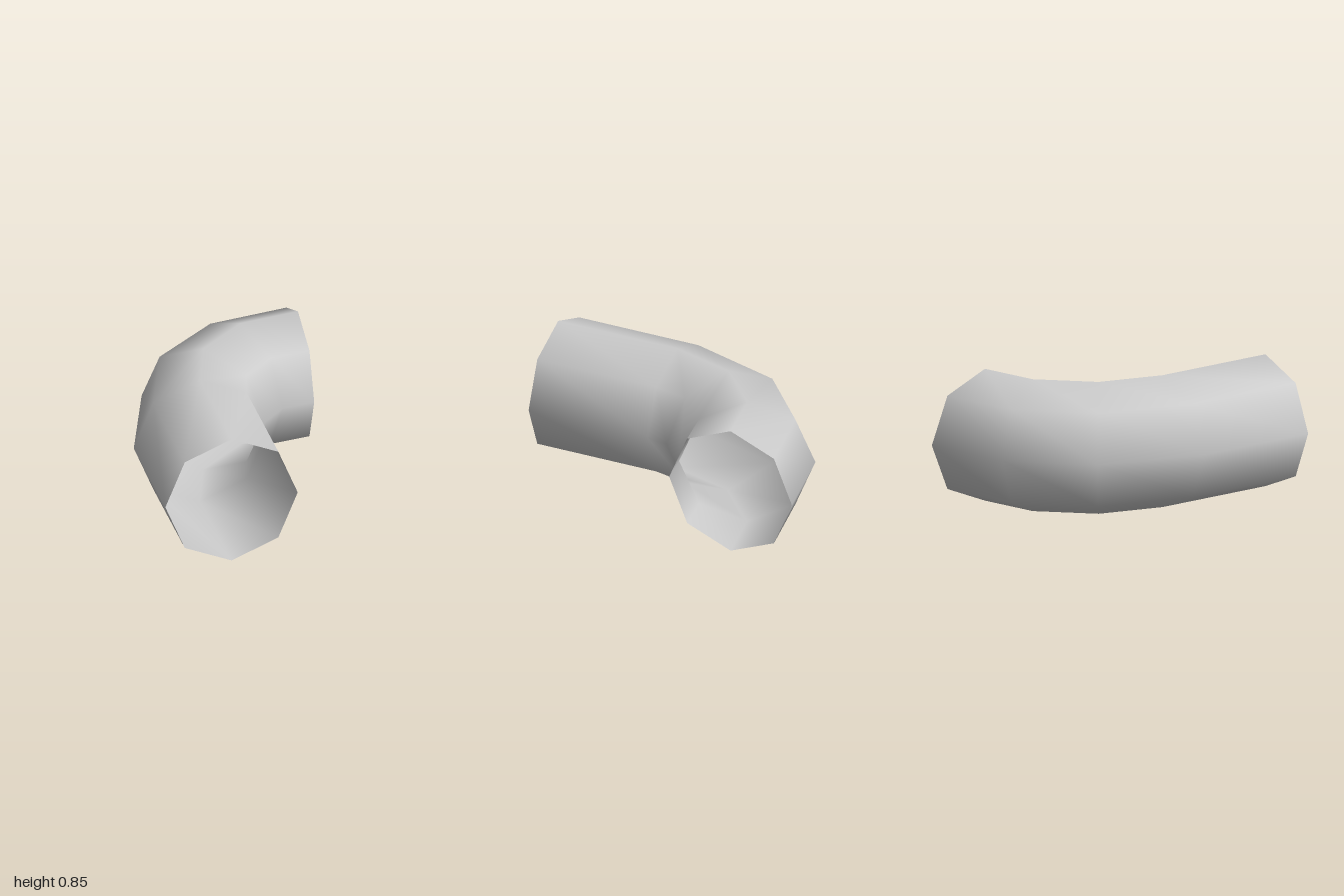
import * as THREE from 'three';

const SIDES = 8;
const RADIUS = 0.4225;

// Ring centres in plan (x, z) and turn angle of the bend in degrees
const RINGS = [
  [-0.195, 1.0, 0],
  [-0.195, 0.18, 0],
  [-0.075, -0.23, 39.7],
  [0.232, -0.507, 65.1],
  [0.617, -0.578, 90],
];

// Open octagonal tube swept through the rings, with shared vertices for smooth normals
function sweepPipe() {
  const positions = [];
  const indices = [];
  for (const [cx, cz, deg] of RINGS) {
    const turn = THREE.MathUtils.degToRad(deg);
    for (let j = 0; j < SIDES; j++) {
      const a = (j / SIDES) * Math.PI * 2;
      const side = Math.cos(a) * RADIUS;
      positions.push(
        cx + side * Math.cos(turn),
        RADIUS + Math.sin(a) * RADIUS,
        cz + side * Math.sin(turn)
      );
    }
  }
  for (let i = 0; i < RINGS.length - 1; i++) {
    for (let j = 0; j < SIDES; j++) {
      const k = (j + 1) % SIDES;
      const a = i * SIDES + j, b = i * SIDES + k;
      const c = a + SIDES, d = b + SIDES;
      indices.push(a, c, b, b, c, d);
    }
  }
  const geometry = new THREE.BufferGeometry();
  geometry.setAttribute('position', new THREE.Float32BufferAttribute(positions, 3));
  geometry.setIndex(indices);
  geometry.computeVertexNormals();
  return geometry;
}

export function createModel() {
  const group = new THREE.Group();
  group.name = 'pipeElbow';

  const pipeGrey = new THREE.MeshStandardMaterial({ color: 0xcccccc, side: THREE.DoubleSide });
  pipeGrey.name = 'pipe grey';

  // Thin-walled elbow, open at both ends
  const pipe = new THREE.Mesh(sweepPipe(), pipeGrey);
  pipe.name = 'elbowPipe';
  group.add(pipe);
  return group;
}
